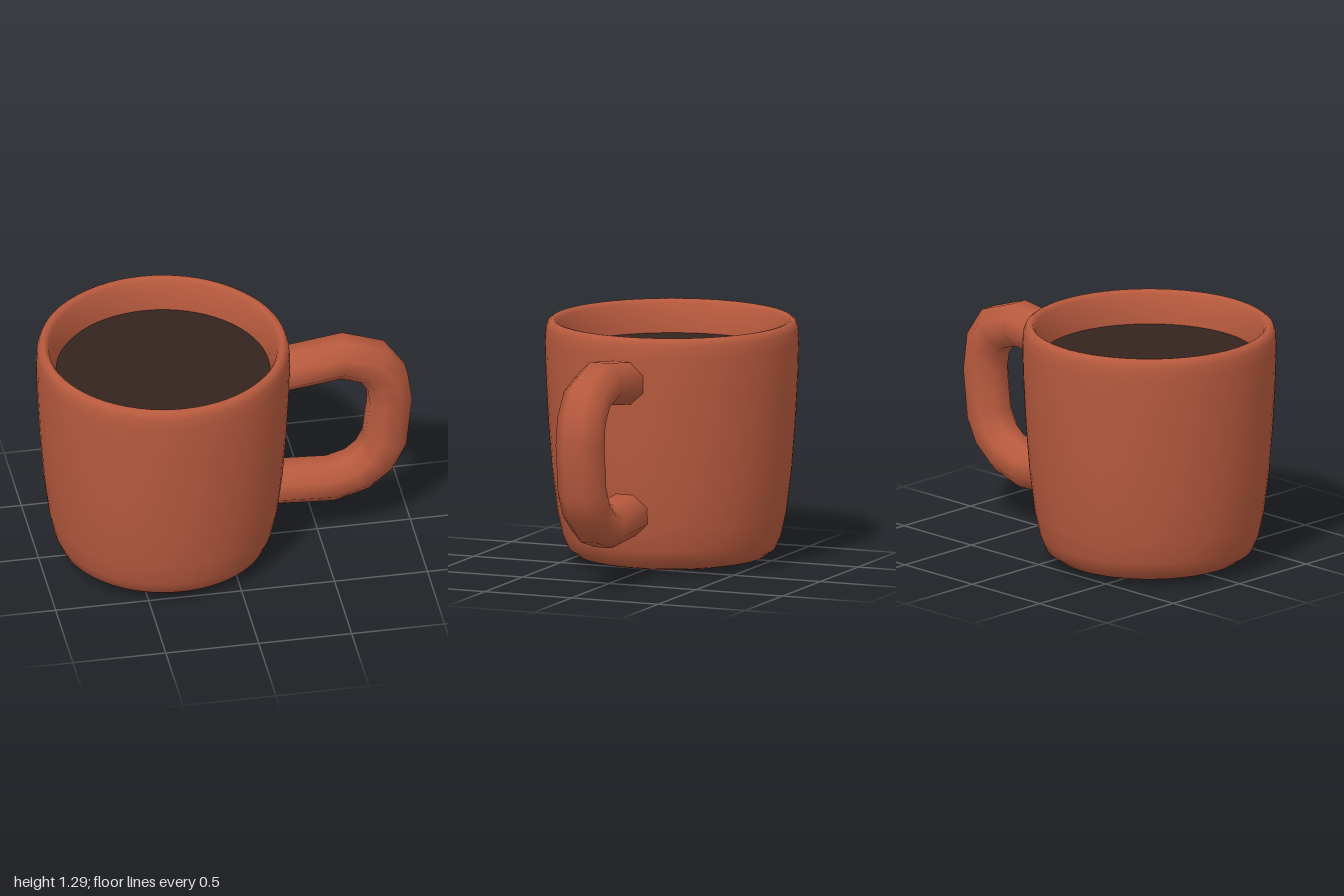
import * as THREE from 'three';

const clay = new THREE.MeshStandardMaterial({ color: 0xb85a3e });
const dark = new THREE.MeshStandardMaterial({ color: 0x35241e });
const CUP_X = -0.33;
const vec = ([x, y]) => new THREE.Vector2(x, y);

// Sweeps an octagonal section along a path in the xy plane, with mitred joints
function sweep(path, inPlane, across, sides = 8) {
  const pts = path.map(vec), positions = [], index = [];
  pts.forEach((p, i) => {
    const before = p.clone().sub(pts[Math.max(i - 1, 0)]).normalize();
    const after = pts[Math.min(i + 1, pts.length - 1)].clone().sub(p).normalize();
    const t = before.clone().add(after).normalize();
    const miter = 1 / t.dot(i ? before : after);
    for (let j = 0; j < sides; j++) {
      const a = ((j + 0.5) / sides) * Math.PI * 2;
      const n = (Math.cos(a) * inPlane * miter) / Math.cos(Math.PI / sides);
      const z = (Math.sin(a) * across) / Math.cos(Math.PI / sides);
      positions.push(p.x - t.y * n, p.y + t.x * n, z);
      if (i < pts.length - 1) {
        const a0 = i * sides + j, b0 = i * sides + ((j + 1) % sides);
        index.push(a0, b0, a0 + sides, b0, b0 + sides, a0 + sides);
      }
    }
  });
  const geo = new THREE.BufferGeometry();
  geo.setAttribute('position', new THREE.Float32BufferAttribute(positions, 3));
  geo.setIndex(index);
  geo.computeVertexNormals();
  return geo;
}

export function createModel() {
  const group = new THREE.Group();
  const add = (name, geo, mat) => {
    const mesh = new THREE.Mesh(geo, mat);
    mesh.name = name;
    group.add(mesh);
    return mesh;
  };

  // Cup: underside, outer wall, rounded rim, then inner wall and floor
  const profile = [
    [0, 0], [0.3, 0.008], [0.45, 0.02], [0.5, 0.033], [0.55, 0.07], [0.58, 0.14],
    [0.608, 0.27], [0.636, 0.5], [0.655, 0.75], [0.668, 1.0], [0.673, 1.18],
    [0.668, 1.25], [0.657, 1.28], [0.638, 1.293], [0.62, 1.29], [0.606, 1.27],
    [0.592, 1.22], [0.567, 1.12], [0.56, 0.8], [0.54, 0.35], [0.48, 0.15], [0, 0.12],
  ].map(vec);
  add('cup', new THREE.LatheGeometry(profile, 64), clay).position.x = CUP_X;

  // Drink surface
  const drink = add('drink', new THREE.CircleGeometry(0.568, 64).rotateX(-Math.PI / 2), dark);
  drink.position.set(CUP_X, 1.12, 0);

  // Handle, from the upper joint round to the lower one
  const path = [
    [0.26, 1.04], [0.63, 1.092], [0.795, 1.035], [0.87, 0.93], [0.888, 0.8],
    [0.86, 0.55], [0.805, 0.44], [0.71, 0.36], [0.57, 0.318], [0.22, 0.338],
  ];
  add('handle', sweep(path, 0.112, 0.12), clay);
  return group;
}
